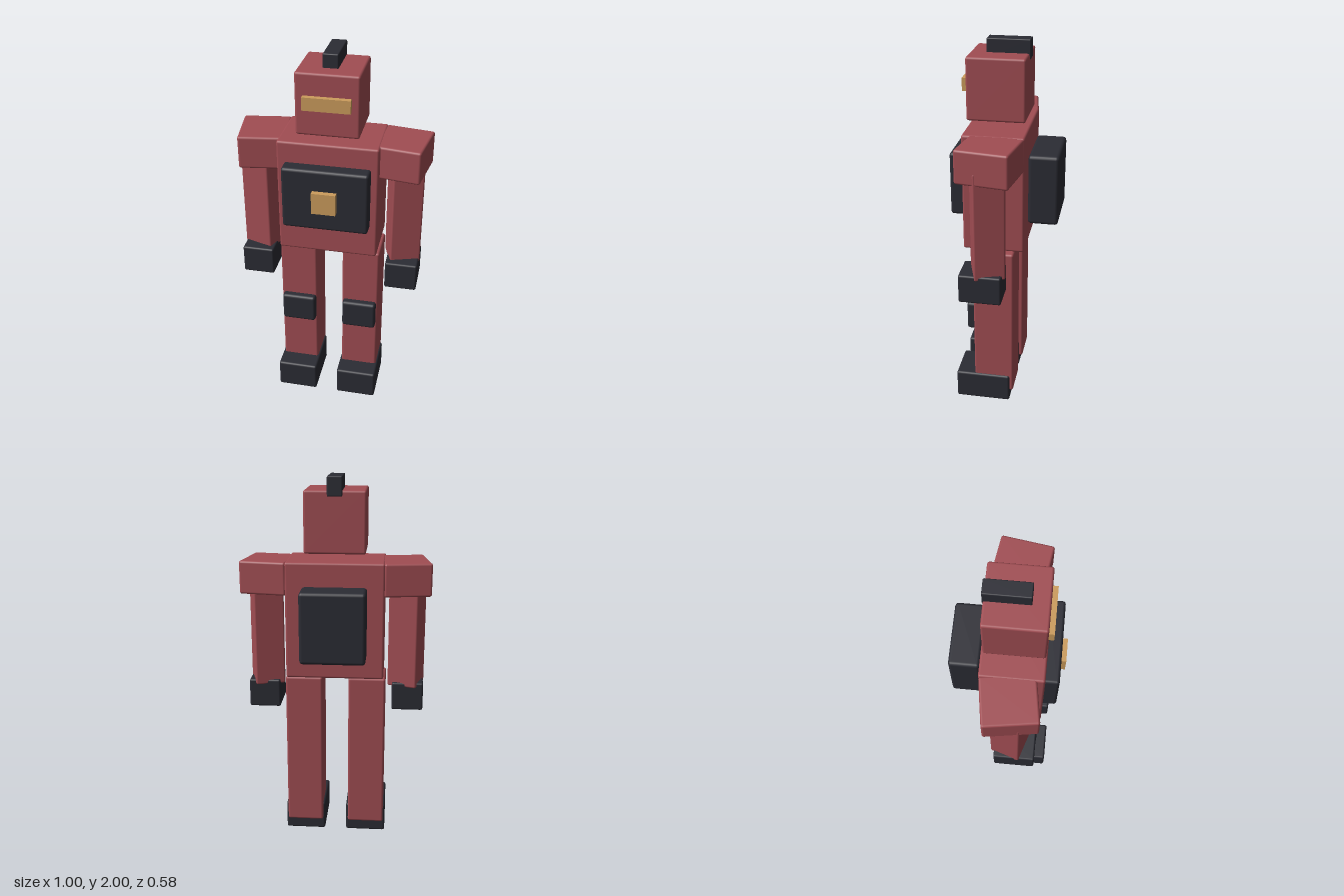
import * as THREE from 'three';
import { RoundedBoxGeometry } from 'three/addons/geometries/RoundedBoxGeometry.js';

const makeMaterial = (name, color) => {
  const m = new THREE.MeshStandardMaterial({ color });
  m.name = name;
  return m;
};

export function createModel() {
  const red = makeMaterial('armour red', 0xa14d53);
  const dark = makeMaterial('dark trim', 0x2b2c34);
  const gold = makeMaterial('gold detail', 0xcc9c5c);

  // Box given by its [min, max] range on each axis; a bevel of 0 keeps edges sharp
  function block(parent, name, material, [x0, x1], [y0, y1], [z0, z1], bevel = 0.012, yaw = 0) {
    const size = [x1 - x0, y1 - y0, z1 - z0];
    const geometry = bevel ? new RoundedBoxGeometry(...size, 2, bevel) : new THREE.BoxGeometry(...size);
    const mesh = new THREE.Mesh(geometry, material);
    mesh.name = name;
    mesh.position.set((x0 + x1) / 2, (y0 + y1) / 2, (z0 + z1) / 2);
    mesh.rotation.y = yaw;
    parent.add(mesh);
  }

  const model = new THREE.Group();
  model.name = 'robot';

  // Head with visor and crest
  const head = new THREE.Group();
  head.name = 'head';
  block(head, 'skull', red, [-0.16, 0.16], [1.61, 1.93], [-0.115, 0.185]);
  block(head, 'visor', gold, [-0.12, 0.12], [1.75, 1.817], [0.17, 0.212], 0);
  block(head, 'crest', dark, [-0.039, 0.039], [1.9, 2.0], [-0.12, 0.102], 0.006);
  model.add(head);

  // Body with chest plate, emblem and backpack
  const body = new THREE.Group();
  body.name = 'body';
  block(body, 'torso', red, [-0.26, 0.26], [0.945, 1.567], [-0.127, 0.192]);
  block(body, 'chestPlate', dark, [-0.222, 0.222], [1.12, 1.456], [0.16, 0.263], 0.015);
  block(body, 'chestEmblem', gold, [-0.062, 0.062], [1.23, 1.345], [0.25, 0.291], 0);
  block(body, 'backpack', dark, [-0.17, 0.17], [1.07, 1.446], [-0.29, -0.132], 0.018);
  model.add(body);

  // Limbs, mirrored from the left (+x) to the right (-x)
  for (const [side, s] of [['left', 1], ['right', -1]]) {
    const span = (a, b) => (s > 0 ? [a, b] : [-b, -a]);

    const arm = new THREE.Group();
    arm.name = side + 'Arm';
    block(arm, side + 'Shoulder', red, span(0.235, 0.485), [1.39, 1.565], [-0.108, 0.168], 0.012, -0.15 * s);
    block(arm, side + 'ArmBlock', red, span(0.3, 0.462), [0.875, 1.455], [-0.043, 0.118], 0.01, 0.31 * s);
    block(arm, side + 'Hand', dark, span(0.306, 0.476), [0.745, 0.9], [-0.045, 0.175], 0.01);
    model.add(arm);

    const leg = new THREE.Group();
    leg.name = side + 'Leg';
    block(leg, side + 'LegBlock', red, span(0.071, 0.271), [0.065, 0.93], [-0.075, 0.143]);
    block(leg, side + 'KneePad', dark, span(0.077, 0.262), [0.45, 0.61], [0.11, 0.181], 0.015);
    block(leg, side + 'Foot', dark, span(0.06, 0.281), [0, 0.162], [-0.055, 0.245]);
    model.add(leg);
  }
  return model;
}
